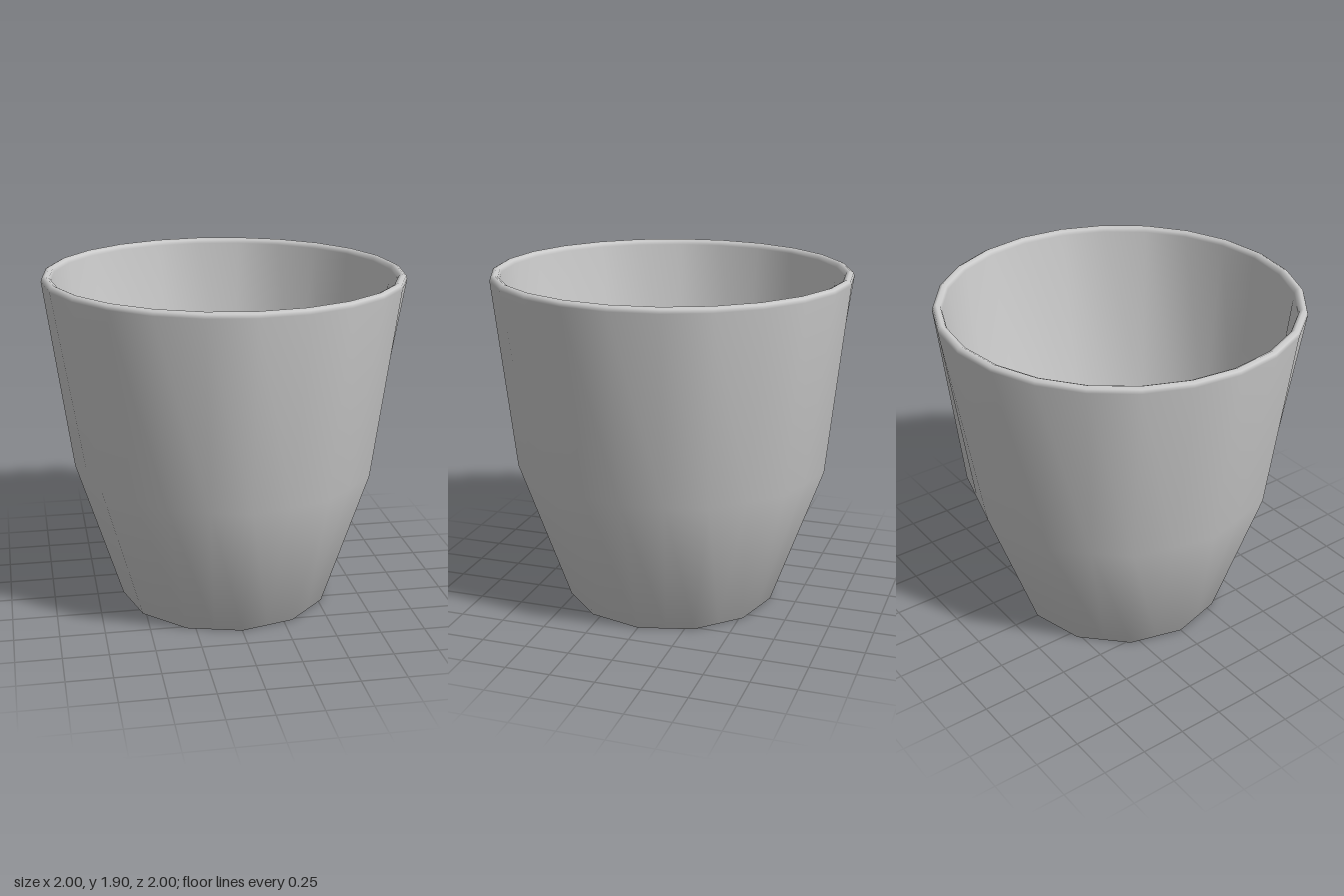
import * as THREE from 'three';
import { mergeVertices } from 'three/addons/utils/BufferGeometryUtils.js';

export function createModel() {
  const group = new THREE.Group();
  group.name = 'tumbler';

  // Closed profile: underside, outer wall, rounded rim, inner wall, floor
  const profile = [
    [0, 0], [0.3, 0], [0.6, 0],
    [0.89, 0.81], [1, 1.87], [0.994, 1.89], [0.975, 1.9],
    [0.955, 1.89], [0.948, 1.87], [0.84, 0.82],
    [0.56, 0.06], [0.3, 0.05], [0, 0.05],
  ].map(([r, y]) => new THREE.Vector2(r, y));

  const sides = 24;
  let geometry = new THREE.LatheGeometry(profile, sides);
  const pos = geometry.attributes.position;

  // Below the shoulder the wall has half as many sides: every second column
  // drops to the middle of the chord. The shoulder is slightly narrower in x.
  for (let i = 0; i < pos.count; i++) {
    const column = Math.floor(i / profile.length);
    const y = pos.getY(i);
    if (y > 1) continue;
    const chord = column % 2 ? Math.cos((Math.PI * 2) / sides) : 1;
    const narrow = y > 0.5 ? 0.96 : 1;
    pos.setX(i, pos.getX(i) * chord * narrow);
    pos.setZ(i, pos.getZ(i) * chord);
  }

  // Weld the seam and smooth the whole surface
  geometry.deleteAttribute('uv');
  geometry.deleteAttribute('normal');
  geometry = mergeVertices(geometry, 1e-4);
  geometry.computeVertexNormals();

  const cup = new THREE.Mesh(
    geometry,
    new THREE.MeshStandardMaterial({ color: 0xcccccc, side: THREE.DoubleSide })
  );
  cup.name = 'cup';
  group.add(cup);
  return group;
}
